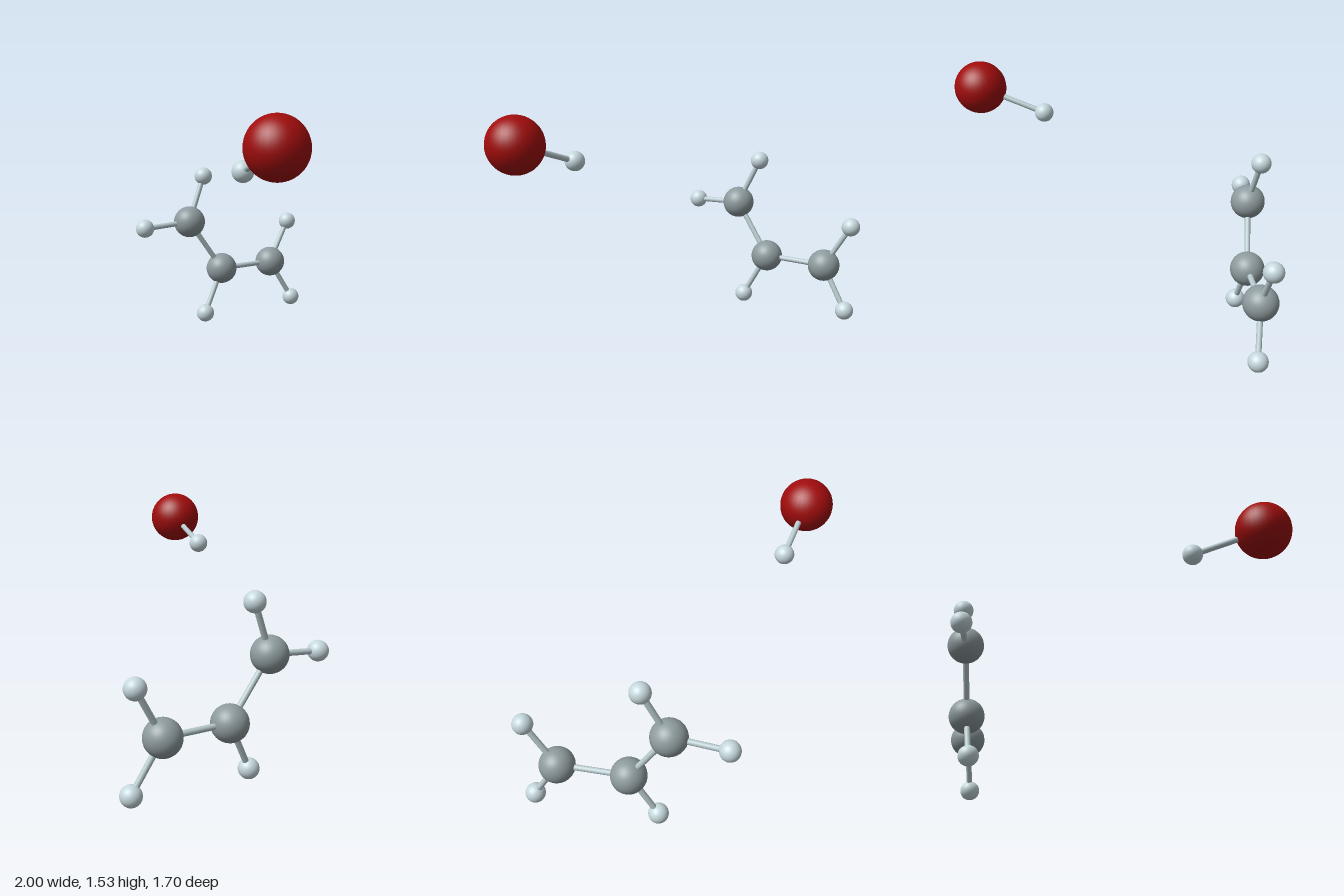
import * as THREE from 'three';

const paint = (color) => new THREE.MeshStandardMaterial({ color });

export function createModel() {
  const model = new THREE.Group();
  model.name = 'ballAndStickMolecules';

  // Element styles: ball radius and colour
  const styles = {
    oxygen: { radius: 0.172, material: paint(0xa00c0c) },
    carbon: { radius: 0.109, material: paint(0x8e9b9e) },
    hydrogen: { radius: 0.062, material: paint(0xc6d8dd) },
  };
  const bondMaterial = paint(0xb9cbcf);
  const bondRadius = 0.018;

  // Ball for one atom
  function addAtom(parent, name, element, x, y, z) {
    const { radius, material } = styles[element];
    const atom = new THREE.Mesh(new THREE.SphereGeometry(radius, 32, 24), material);
    atom.name = name;
    atom.position.set(x, y, z);
    parent.add(atom);
    return atom;
  }

  // Rod between two atom centres
  function addBond(parent, a, b) {
    const direction = b.position.clone().sub(a.position);
    const rod = new THREE.Mesh(
      new THREE.CylinderGeometry(bondRadius, bondRadius, direction.length(), 20),
      bondMaterial
    );
    rod.name = `${a.name}To${b.name}Bond`;
    rod.position.copy(a.position).lerp(b.position, 0.5);
    rod.quaternion.setFromUnitVectors(new THREE.Vector3(0, 1, 0), direction.normalize());
    parent.add(rod);
  }

  // Three-carbon chain with five hydrogens
  const chain = new THREE.Group();
  chain.name = 'carbonChain';
  const upper = addAtom(chain, 'upperCarbon', 'carbon', -0.891, 0.731, 0.07);
  const middle = addAtom(chain, 'middleCarbon', 'carbon', -0.853, 0.37, -0.177);
  const rear = addAtom(chain, 'rearCarbon', 'carbon', -0.832, 0.368, -0.613);
  addBond(chain, upper, middle);
  addBond(chain, middle, rear);

  const hydrogens = [
    ['topHydrogen', upper, -0.923, 1.044, -0.075],
    ['frontHydrogen', upper, -0.925, 0.712, 0.412],
    ['lowerHydrogen', middle, -0.828, 0.066, -0.012],
    ['rearUpperHydrogen', rear, -0.842, 0.662, -0.79],
    ['rearLowerHydrogen', rear, -0.793, 0.075, -0.787],
  ];
  for (const [name, carbon, x, y, z] of hydrogens) {
    addBond(chain, carbon, addAtom(chain, name, 'hydrogen', x, y, z));
  }

  // Separate oxygen with one hydrogen
  const pair = new THREE.Group();
  pair.name = 'oxygenHydrogenPair';
  const oxygen = addAtom(pair, 'oxygen', 'oxygen', 0.826, 1.365, 0.681);
  const partner = addAtom(pair, 'oxygenHydrogen', 'hydrogen', 0.406, 1.211, 0.576);
  addBond(pair, oxygen, partner);

  model.add(chain, pair);
  return model;
}
